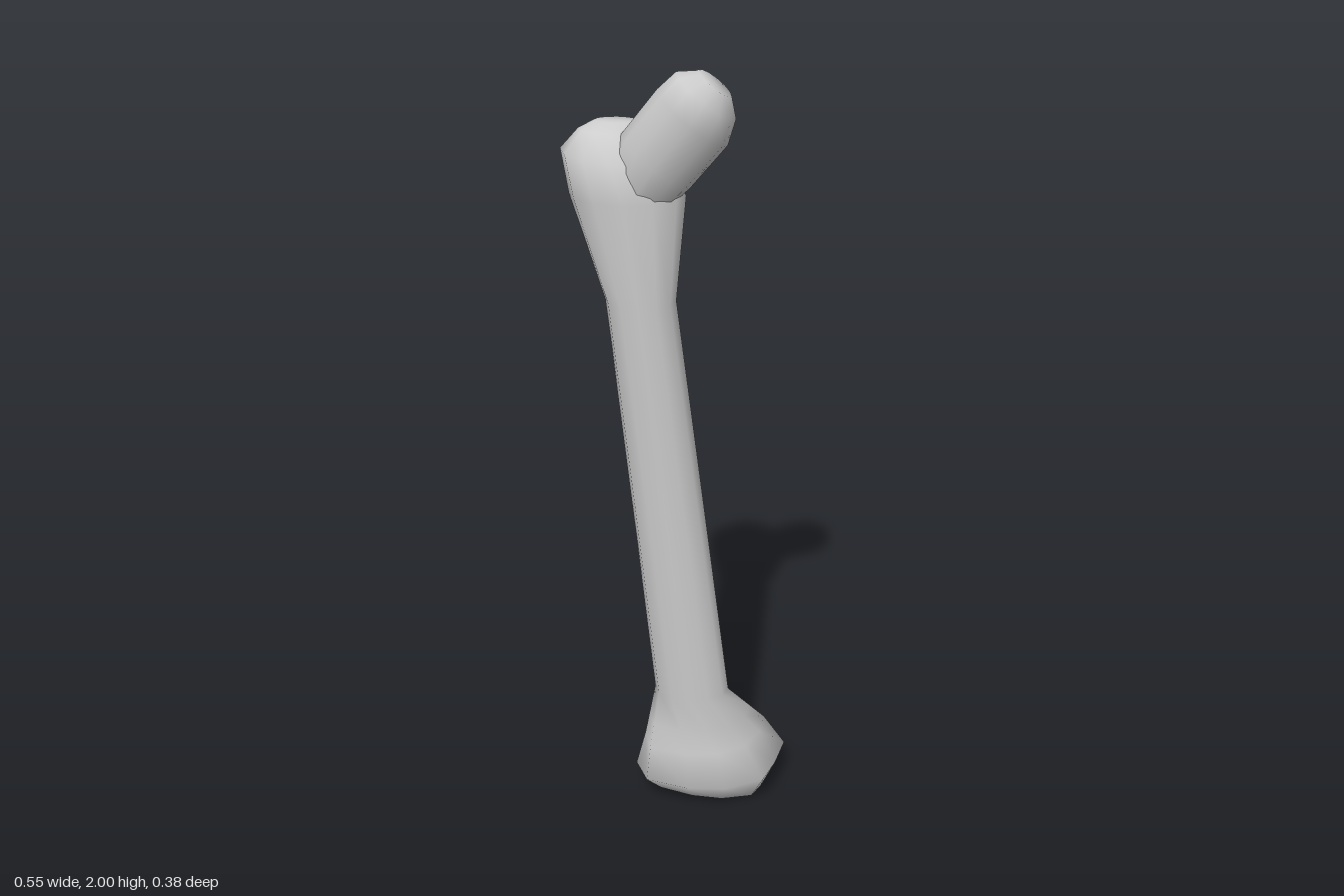
import * as THREE from 'three';

const SIDES = 12;

// Skin a stack of closed rings (arrays of Vector3) and cap both ends.
function loft(rings, name, material) {
  const pos = [], index = [];
  rings.forEach(r => r.forEach(p => pos.push(p.x, p.y, p.z)));
  for (let i = 0; i < rings.length - 1; i++) {
    for (let j = 0; j < SIDES; j++) {
      const k = (j + 1) % SIDES;
      const a = i * SIDES + j, b = i * SIDES + k, c = a + SIDES, d = b + SIDES;
      index.push(a, b, c, b, d, c);
    }
  }
  const last = (rings.length - 1) * SIDES;
  [[0, true], [last, false]].forEach(([start, bottom]) => {
    const centre = new THREE.Vector3();
    rings[start / SIDES].forEach(p => centre.addScaledVector(p, 1 / SIDES));
    const c = pos.length / 3;
    pos.push(centre.x, centre.y, centre.z);
    for (let j = 0; j < SIDES; j++) {
      const a = start + j, b = start + (j + 1) % SIDES;
      index.push(c, bottom ? b : a, bottom ? a : b);
    }
  });
  const geo = new THREE.BufferGeometry();
  geo.setAttribute('position', new THREE.Float32BufferAttribute(pos, 3));
  geo.setIndex(index);
  geo.computeVertexNormals();
  const mesh = new THREE.Mesh(geo, material);
  mesh.name = name;
  return mesh;
}

// Level oval ring filling the given x and z ranges; slope tilts it along x.
function oval(y, x0, x1, z0, z1, slope = 0) {
  return Array.from({ length: SIDES }, (_, i) => {
    const t = i / SIDES * Math.PI * 2;
    const dx = -Math.cos(t) * (x1 - x0) / 2;
    return new THREE.Vector3((x0 + x1) / 2 + dx, y + slope * dx,
      (z0 + z1) / 2 + Math.sin(t) * (z1 - z0) / 2);
  });
}

// Oval ring square to a direction in the xy plane, for the slanting neck.
function slantRing(x, y, z, r, rz) {
  return Array.from({ length: SIDES }, (_, i) => {
    const t = i / SIDES * Math.PI * 2, u = -Math.cos(t) * r;
    return new THREE.Vector3(x + 0.79 * u, y - 0.61 * u, z + Math.sin(t) * rz);
  });
}

const outline = (y, pts) => pts.map(([x, z]) => new THREE.Vector3(x, y, z));
const blend = (a, b, t) => a.map((p, i) => p.clone().lerp(b[i], t));

export function createModel() {
  const group = new THREE.Group();
  group.name = 'thighBone';
  const bone = new THREE.MeshStandardMaterial({ color: 0xcccccc });
  bone.name = 'bone grey';

  // Twin knuckles with a notch between them at the back
  const wide = outline(0.09, [
    [-0.125, 0.0], [-0.09, 0.075], [0.02, 0.105], [0.12, 0.1], [0.22, 0.05], [0.25, -0.03],
    [0.272, -0.125], [0.16, -0.165], [0.085, -0.095], [0.045, -0.195], [-0.08, -0.19], [-0.115, -0.07],
  ]);
  const upper = outline(0.19, [
    [-0.1, 0.0], [-0.08, 0.07], [0.02, 0.092], [0.1, 0.085], [0.17, 0.04], [0.205, -0.03],
    [0.215, -0.1], [0.15, -0.13], [0.07, -0.07], [0.03, -0.145], [-0.06, -0.145], [-0.097, -0.06],
  ]);
  const foot = wide.map(p => new THREE.Vector3(
    0.07 + (p.x - 0.07) * 0.79, 0.016 - 0.075 * (p.x - 0.07), -0.05 + (p.z + 0.05) * 0.6));
  const shaftBase = oval(0.36, -0.07, 0.122, -0.042, 0.092);

  // Knuckles, shaft and outer knob in one smooth skin
  group.add(loft([
    foot,
    wide,
    upper,
    blend(upper, shaftBase, 0.42),
    shaftBase,
    oval(0.9, -0.122, 0.057, -0.026, 0.108),
    oval(1.45, -0.177, -0.01, -0.012, 0.122),
    oval(1.7, -0.257, 0.012, -0.05, 0.138),
    oval(1.79, -0.275, -0.03, -0.056, 0.128, -0.1),
    oval(1.845, -0.235, -0.07, -0.038, 0.075),
    oval(1.862, -0.2, -0.1, -0.02, 0.04),
  ], 'shaftAndKnuckles', bone));

  // Slanting neck and rounded ball
  group.add(loft([
    slantRing(-0.12, 1.68, 0.05, 0.07, 0.065),
    slantRing(-0.055, 1.785, 0.07, 0.098, 0.076),
    slantRing(0.03, 1.895, 0.102, 0.099, 0.086),
    slantRing(0.06, 1.945, 0.106, 0.083, 0.078),
    slantRing(0.08, 1.972, 0.108, 0.045, 0.048),
  ], 'neckAndHead', bone));

  return group;
}
